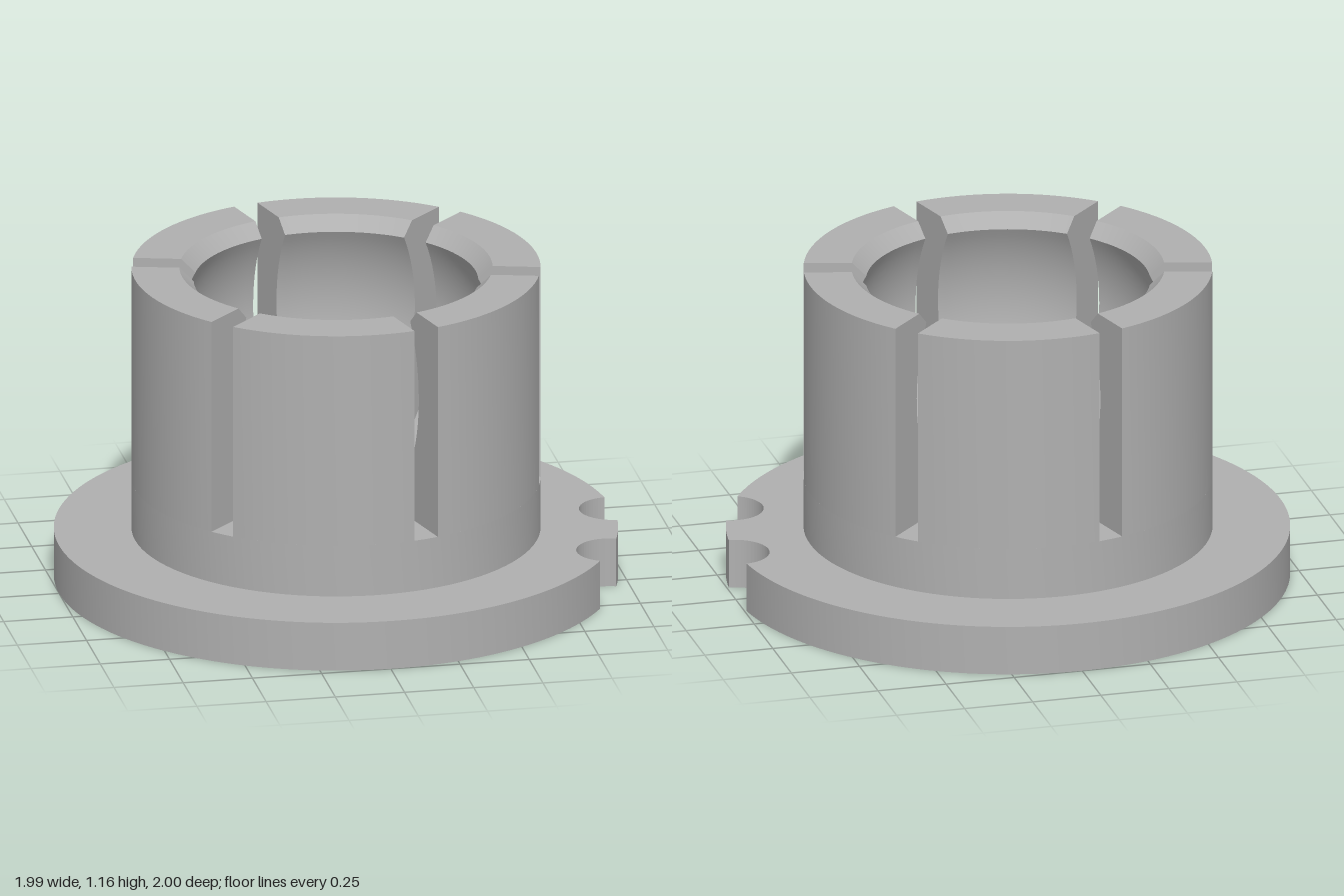
import * as THREE from 'three';
import { toCreasedNormals } from 'three/addons/utils/BufferGeometryUtils.js';

const BASE_H = 0.18, OUTER = 0.725, TOP = 1.16, FLOOR = 0.37;
const BALL_R = 0.573, BALL_Y = 0.838, HALF_SLOT = 0.046;
const rad = THREE.MathUtils.degToRad;

// Points [radius, height] along the spherical cavity between two heights
function cavity(y0, y1, steps) {
  const a0 = Math.asin((y0 - BALL_Y) / BALL_R), a1 = Math.asin((y1 - BALL_Y) / BALL_R);
  return Array.from({ length: steps + 1 }, (_, i) => {
    const a = a0 + (a1 - a0) * i / steps;
    return [Math.max(0, BALL_R * Math.cos(a)), BALL_Y + BALL_R * Math.sin(a)];
  });
}

// Sweeps a profile between two angles that may depend on the radius
function sweep(profile, from, to, steps, capped = false) {
  const pos = [], index = [], row = steps + 1;
  for (const [r, y] of profile) {
    for (let j = 0; j <= steps; j++) {
      const t = from(r) + (to(r) - from(r)) * j / steps;
      pos.push(r * Math.cos(t), y, r * Math.sin(t));
    }
  }
  for (let i = 0; i < profile.length - 1; i++) {
    for (let j = 0; j < steps; j++) {
      const a = i * row + j, b = a + 1, c = a + row, d = c + 1;
      if (profile[i][0] > 1e-4) index.push(a, b, c);
      index.push(b, d, c);
    }
  }
  if (capped) {
    // flat slot walls at both ends
    const pts = profile.map(([r, y]) => new THREE.Vector2(r, y)).reverse();
    const last = profile.length - 1;
    for (const tri of THREE.ShapeUtils.triangulateShape(pts, [])) {
      const ccw = THREE.ShapeUtils.area(tri.map((k) => pts[k])) > 0;
      const [a, b, c] = (ccw ? tri : [...tri].reverse()).map((k) => (last - k) * row);
      index.push(a, c, b, a + steps, b + steps, c + steps);
    }
  }
  const g = new THREE.BufferGeometry();
  g.setAttribute('position', new THREE.Float32BufferAttribute(pos, 3));
  g.setIndex(index);
  return toCreasedNormals(g, 0.5);
}

// Flange disc with two round notches in its rim
function flangeGeometry() {
  const notchR = 0.12, d = 2 * Math.asin(notchR / 2), second = rad(25);
  const s = new THREE.Shape();
  const notch = (a) => s.absarc(Math.cos(a), Math.sin(a), notchR,
    a - Math.PI / 2 - d / 2, a - Math.PI * 1.5 + d / 2, true);
  s.absarc(0, 0, 1, second + d, Math.PI * 2 - d, false);
  notch(0);
  s.absarc(0, 0, 1, d, second - d, false);
  notch(second);
  const g = new THREE.ExtrudeGeometry(s, { depth: BASE_H, bevelEnabled: false, curveSegments: 96 });
  g.rotateX(Math.PI / 2).translate(0, BASE_H, 0);
  return toCreasedNormals(g, 0.5);
}

export function createModel() {
  const group = new THREE.Group();
  const grey = new THREE.MeshStandardMaterial({ color: 0xb0b0b0 });
  grey.name = 'grey';
  const add = (name, geometry) => {
    const mesh = new THREE.Mesh(geometry, grey);
    mesh.name = name;
    group.add(mesh);
  };

  add('flange', flangeGeometry());

  // Unslotted lower part of the socket
  const zero = () => 0, full = () => Math.PI * 2;
  add('bowl', sweep(cavity(BALL_Y - BALL_R, FLOOR, 8), zero, full, 96));
  add('lowerWall', sweep([[OUTER, FLOOR], [OUTER, BASE_H]], zero, full, 96));

  // Six fingers separated by parallel-sided slots
  const inner = cavity(FLOOR, 1.11, 24);
  const finger = [...inner, [0.555, TOP], [OUTER, TOP], [OUTER, FLOOR]];
  const half = (r) => Math.asin(HALF_SLOT / r);
  for (let i = 0; i < 6; i++) {
    const a = rad(15 + 60 * i), next = a + rad(60);
    add('finger', sweep(finger, (r) => a + half(r), (r) => next - half(r), 16, true));
    add('slotFloor', sweep([inner[0], [OUTER, FLOOR]], (r) => a - half(r), (r) => a + half(r), 4));
  }
  return group;
}
